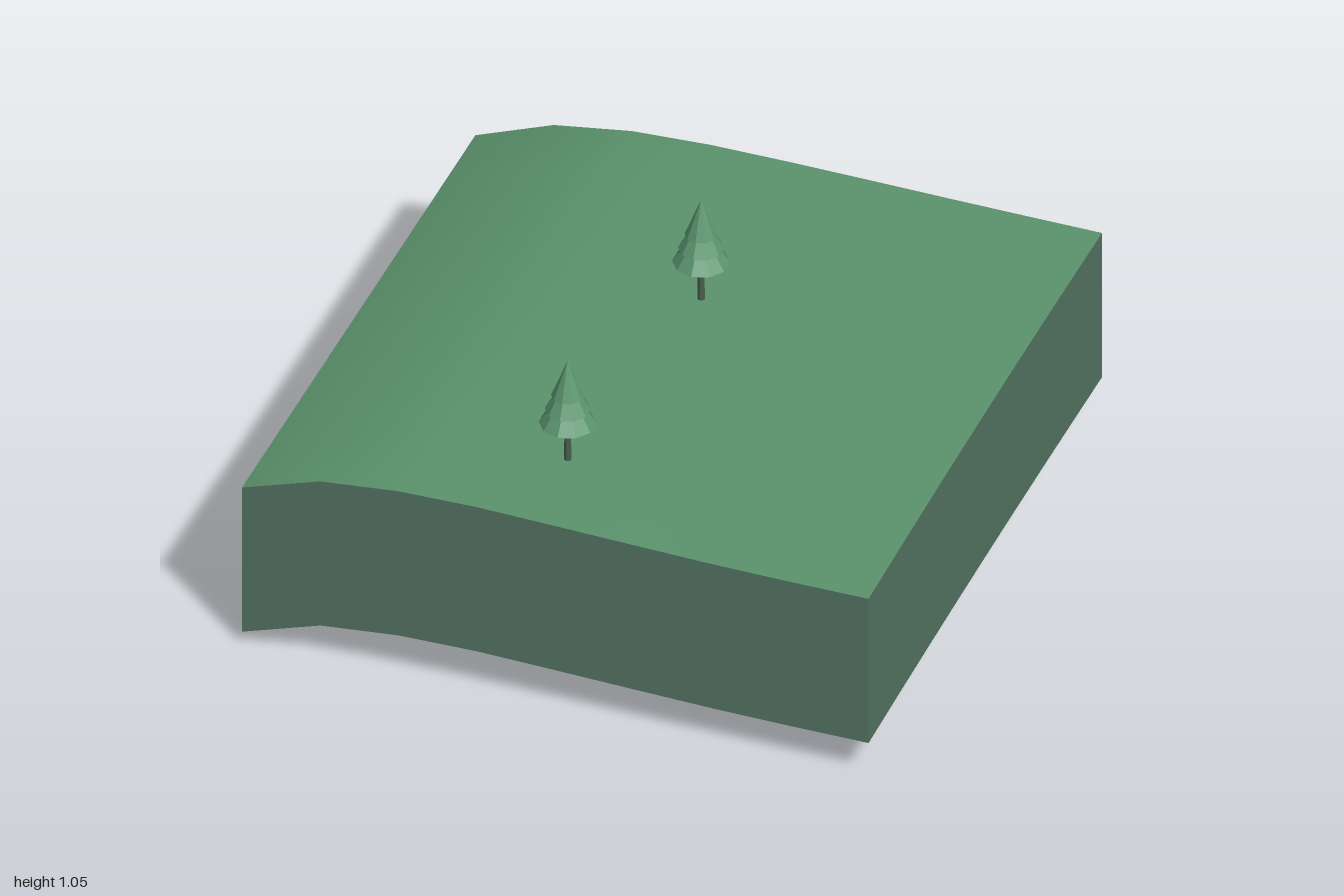
import * as THREE from 'three';

const N = 8, DEPTH = 0.53;
// Terrain heights every 0.25 along x, at the back and front edges
const BACK = [0.53, 0.63, 0.67, 0.682, 0.682, 0.679, 0.675, 0.672, 0.67];
const FRONT = [0.575, 0.66, 0.686, 0.69, 0.683, 0.675, 0.668, 0.665, 0.665];

function height(x, z) {
  const f = Math.min(Math.max((x + 1) * N / 2, 0), N);
  const i = Math.min(Math.floor(f), N - 1);
  const at = (row) => THREE.MathUtils.lerp(row[i], row[i + 1], f - i);
  const bulge = 0.012 * (1 - z * z) * Math.max(0, x);
  return THREE.MathUtils.lerp(at(BACK), at(FRONT), (z + 1) / 2) + bulge;
}

export function createModel() {
  const mat = (name, color, extra = {}) =>
    Object.assign(new THREE.MeshStandardMaterial({ color, ...extra }), { name });
  const grass = mat('grass', 0x5c946d, { side: THREE.DoubleSide });
  const earth = mat('mossy earth', 0x557664, { side: THREE.DoubleSide });
  const needles = mat('needles', 0x5c9670, { flatShading: true });
  const bark = mat('bark', 0x48604f, { flatShading: true });

  const model = new THREE.Group();
  model.name = 'hillTile';
  const add = (parent, name, geometry, material) => {
    const mesh = new THREE.Mesh(geometry, material);
    mesh.name = name;
    parent.add(mesh);
    return mesh;
  };

  // Gently rolling ground
  const ground = new THREE.PlaneGeometry(2, 2, N, N).rotateX(-Math.PI / 2);
  const p = ground.attributes.position;
  for (let i = 0; i < p.count; i++) p.setY(i, height(p.getX(i), p.getZ(i)));
  ground.computeVertexNormals();
  add(model, 'ground', ground, grass);

  // Four skirt walls following the ground edge, open underneath
  ['frontWall', 'leftWall', 'backWall', 'rightWall'].forEach((name, side) => {
    const wall = new THREE.PlaneGeometry(2, 1, N, 1).translate(0, 0, 1).rotateY(side * Math.PI / 2);
    const w = wall.attributes.position;
    for (let i = 0; i < w.count; i++) {
      w.setY(i, height(w.getX(i), w.getZ(i)) - (w.getY(i) > 0 ? 0 : DEPTH));
    }
    wall.computeVertexNormals();
    add(model, name, wall, earth);
  });

  // Fir trees: trunk and three stacked tiers [radius, base, top]
  const tiers = [[0.087, 0.135, 0.26], [0.069, 0.185, 0.31], [0.05, 0.235, 0.362]];
  [[-0.085, 0.665], [0, -0.25]].forEach(([x, z], n) => {
    const tree = new THREE.Group();
    tree.name = 'firTree' + (n + 1);
    tree.position.set(x, 0.684, z);
    add(tree, 'trunk', new THREE.CylinderGeometry(0.01, 0.012, 0.16, 8), bark).position.y = 0.07;
    tiers.forEach(([r, base, top], t) => {
      add(tree, 'foliageTier' + (t + 1), new THREE.ConeGeometry(r, top - base, 10), needles)
        .position.y = (base + top) / 2;
    });
    model.add(tree);
  });
  return model;
}
